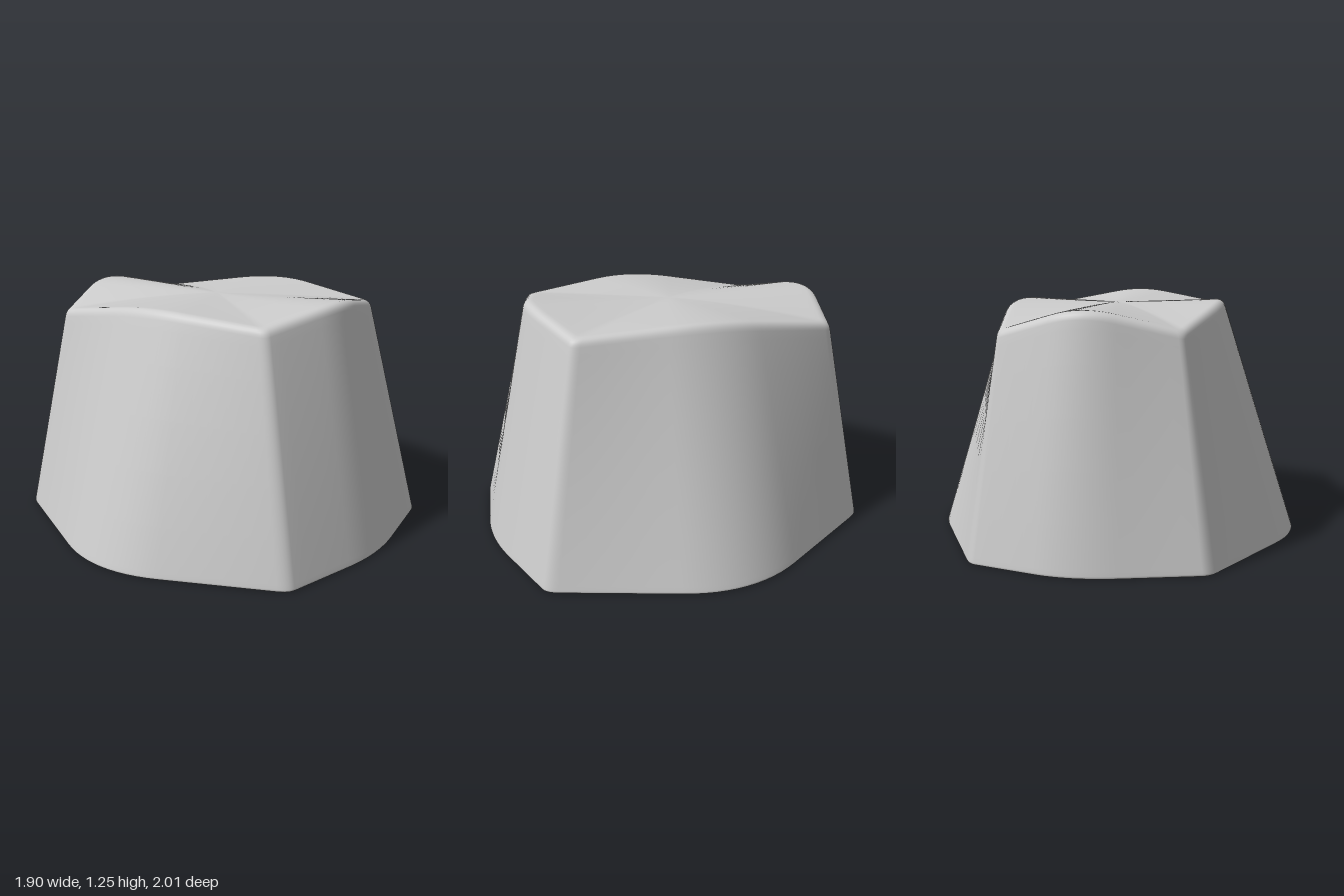
import * as THREE from 'three';
import { mergeVertices } from 'three/addons/utils/BufferGeometryUtils.js';

const V = (x, y, z) => new THREE.Vector3(x, y, z);
const mix = (a, b, t) => a.clone().lerp(b, t);
const bend = (a, b, c, t) => mix(mix(a, b, t), mix(b, c, t), t);

// Control points alternate: soft side middle, crisp corner (counter-clockwise from the front)
const BASE = [
  V(0, 0, 1.003), V(0.615, 0, 0.895), V(0.953, 0, 0), V(0.53, 0, -0.89),
  V(0, 0, -1.003), V(-0.605, 0, -0.835), V(-0.953, 0, 0.02), V(-0.595, 0, 0.875),
];
const RIM = [
  V(0, 1.25, 0.755), V(0.43, 1.18, 0.66), V(0.56, 1.21, 0), V(0.425, 1.095, -0.71),
  V(0, 1.195, -0.825), V(-0.445, 1.1, -0.67), V(-0.56, 1.21, 0), V(-0.455, 1.185, 0.62),
];

// Closed outline through the points, rounded widely at middles and tightly at corners
function outline(points) {
  const n = points.length;
  const round = (i) => (i % 2 ? 0.06 : 0.35);
  const ctrl = points.map((p, i) => {
    const r = round(i);
    const sum = points[(i + n - 1) % n].clone().add(points[(i + 1) % n]);
    return p.clone().addScaledVector(sum, -r / 4).divideScalar(1 - r / 2);
  });
  const out = [];
  ctrl.forEach((c, i) => {
    const r = round(i), steps = i % 2 ? 5 : 12;
    const a = mix(c, ctrl[(i + n - 1) % n], r);
    const b = mix(c, ctrl[(i + 1) % n], r);
    for (let s = 0; s <= steps; s++) out.push(bend(a, c, b, s / steps));
    // straight run to the next point
    const next = mix(ctrl[(i + 1) % n], c, round(i + 1));
    for (let s = 1; s < 5; s++) out.push(mix(b, next, s / 5));
  });
  return out;
}

// Skin closed rings of equal length
function loft(rings) {
  const n = rings[0].length, pos = [], index = [];
  rings.forEach((ring) => ring.forEach((p) => pos.push(p.x, p.y, p.z)));
  for (let j = 0; j < rings.length - 1; j++) {
    for (let i = 0; i < n; i++) {
      const a = j * n + i, b = j * n + ((i + 1) % n);
      index.push(a, b, b + n, a, b + n, a + n);
    }
  }
  let geo = new THREE.BufferGeometry();
  geo.setAttribute('position', new THREE.Float32BufferAttribute(pos, 3));
  geo.setIndex(index);
  geo = mergeVertices(geo, 1e-5);
  geo.computeVertexNormals();
  return geo;
}

export function createModel() {
  const group = new THREE.Group();
  const base = outline(BASE), rim = outline(RIM);
  const each = (fn) => base.map((b, i) => fn(b, rim[i]));
  // Gently sculpted top: rim height fades to the centre height
  const top = (t, k) => V(t.x * k, 1.2 + (t.y - 1.2) * Math.pow(k, 1.5), t.z * k);
  const under = (b, k) => V(b.x * k, 0, b.z * k);
  const rings = [];

  // Flat underside
  for (const k of [0, 0.5, 0.9, 0.97]) rings.push(each((b) => under(b, k)));
  // Rounded bottom edge
  for (let s = 0; s <= 4; s++) rings.push(each((b, t) => bend(under(b, 0.985), b, mix(b, t, 0.012), s / 4)));
  // Tapered sides
  for (const f of [0.03, 0.2, 0.4, 0.6, 0.8, 0.93]) rings.push(each((b, t) => mix(b, t, f)));
  // Rounded top edge
  for (let s = 0; s <= 6; s++) rings.push(each((b, t) => bend(mix(b, t, 0.965), t, top(t, 0.94), s / 6)));
  // Top surface
  for (let s = 9; s >= 0; s--) rings.push(each((b, t) => top(t, s / 10)));

  const body = new THREE.Mesh(loft(rings), new THREE.MeshStandardMaterial({ color: 0xcccccc }));
  body.name = 'taperedBody';
  group.add(body);
  return group;
}
